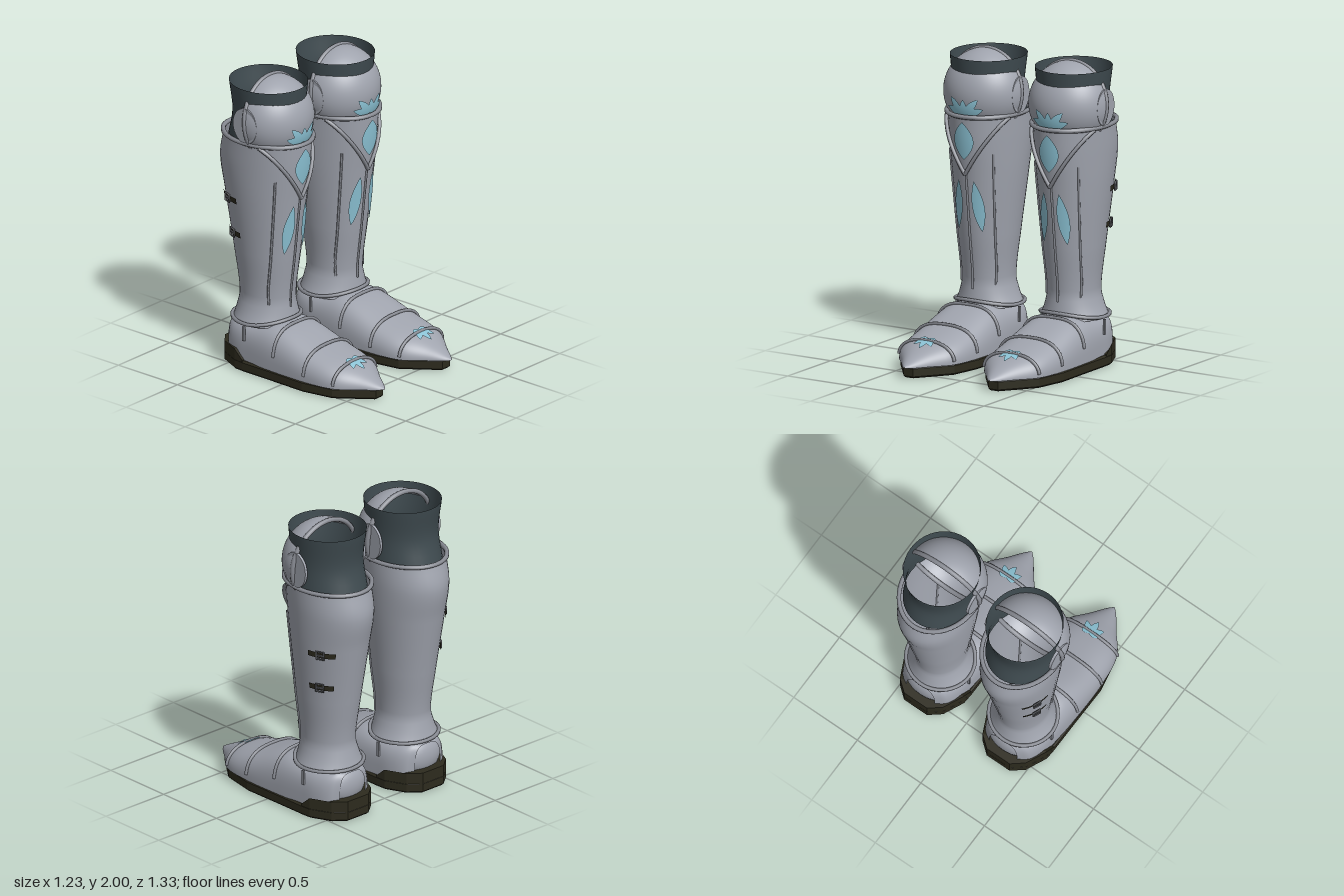
import * as THREE from 'three';
import { ParametricGeometry } from 'three/addons/geometries/ParametricGeometry.js';

const mat = (name, color) => {
  const m = new THREE.MeshStandardMaterial({ color, side: THREE.DoubleSide });
  m.name = name;
  return m;
};
const V = (x, y, z) => new THREE.Vector3(x, y, z);

// smooth interpolation of table rows keyed by their first column
function sample(rows, k) {
  const n = rows.length;
  let i = 0;
  while (i < n - 2 && k > rows[i + 1][0]) i++;
  const a = rows[i], b = rows[i + 1], h = b[0] - a[0];
  const t = Math.min(1, Math.max(0, (k - a[0]) / h));
  const slope = (j, c) => {
    const p = rows[Math.max(0, j - 1)], q = rows[Math.min(n - 1, j + 1)];
    return (q[c] - p[c]) / (q[0] - p[0]);
  };
  return a.map((_, c) => {
    const t2 = t * t, t3 = t2 * t;
    return a[c] * (2 * t3 - 3 * t2 + 1) + b[c] * (3 * t2 - 2 * t3)
      + h * (slope(i, c) * (t3 - 2 * t2 + t) + slope(i + 1, c) * (t3 - t2));
  });
}

// height, half width, front z, back z
const SHIN = [
  [0.32, 0.222, -0.11, -0.545], [0.4, 0.188, -0.122, -0.525], [0.5, 0.166, -0.13, -0.51],
  [0.8, 0.192, -0.095, -0.555], [1.2, 0.23, -0.05, -0.625], [1.42, 0.243, -0.022, -0.663],
  [1.6, 0.245, -0.01, -0.625],
];
const CUFF = [
  [1.56, 0.235, -0.06, -0.59], [1.75, 0.228, -0.07, -0.55], [1.96, 0.245, -0.055, -0.575],
];
// z, half width, bottom y, top y, roundness
const FOOT = [
  [-0.55, 0.11, 0.09, 0.31, 0.55], [-0.51, 0.17, 0.08, 0.325, 0.55], [-0.42, 0.21, 0.08, 0.33, 0.55],
  [-0.3, 0.225, 0.075, 0.335, 0.55], [-0.1, 0.238, 0.075, 0.35, 0.65], [0.19, 0.24, 0.075, 0.265, 0.75],
  [0.41, 0.207, 0.075, 0.205, 0.85], [0.55, 0.102, 0.075, 0.145, 0.95], [0.64, 0.035, 0.075, 0.1, 1],
  [0.67, 0.004, 0.078, 0.083, 1],
];

// point on an upright elliptical tube; a = 0 is the front
function onTube(rows, y, a, off = 0) {
  const [, w, f, b] = sample(rows, y);
  return V((w + off) * Math.sin(a), y, (f + b) / 2 + ((f - b) / 2 + off) * Math.cos(a));
}
const onShinFront = (off) => (x, y) =>
  onTube(SHIN, y, Math.asin(Math.max(-1, Math.min(1, x / sample(SHIN, y)[1]))), off);
function onFoot(z, a, off = 0) {
  const [, w, lo, hi, p] = sample(FOOT, z);
  const c = Math.cos(a), s = Math.max(0, Math.sin(a));
  return V(Math.sign(c) * (w + off) * Math.abs(c) ** p, lo + (hi - lo + off) * s ** p, z);
}
function onToe(x, z) {
  const [, w, lo, hi, p] = sample(FOOT, z);
  const c = Math.min(1, Math.abs(x) / w) ** (1 / p);
  return V(x, lo + (hi - lo) * (1 - c * c) ** (p / 2) + 0.009, z);
}
function onKnee(x, y) {
  const r = Math.min(1, (x * x + (y - 1.72) ** 2) / 0.0784);
  return V(x, y, -0.28 + 0.26 * Math.sqrt(1 - r) - (y - 1.72) * 0.1 + 0.009);
}

const surface = (fn, nu, nv) => new ParametricGeometry((u, v, t) => t.copy(fn(u, v)), nu, nv);
const tube = (pts, r, closed = false, n = 40) =>
  new THREE.TubeGeometry(new THREE.CatmullRomCurve3(pts, closed), n, r, 6, closed);
const range = (n, fn) => Array.from({ length: n }, (_, i) => fn(i / (n - 1)));
// pointed leaf growing from (x, y), wrapped on a surface
const leaf = (x, y, len, wid, ang, wrap) => surface((u, v) => {
  const s = (u - 0.5) * wid * Math.sin(Math.PI * v) ** 0.85, l = len * v;
  return wrap(x + l * Math.sin(ang) + s * Math.cos(ang), y + l * Math.cos(ang) - s * Math.sin(ang));
}, 6, 14);

function outline(half) {
  const s = new THREE.Shape();
  half.forEach(([x, z], i) => (i ? s.lineTo(x, -z) : s.moveTo(x, -z)));
  [...half].reverse().forEach(([x, z]) => s.lineTo(-x, -z));
  return s;
}
function slab(half, y, h, bevel) {
  const g = new THREE.ExtrudeGeometry(outline(half), {
    depth: h - 2 * bevel, bevelEnabled: bevel > 0, bevelSize: bevel, bevelThickness: bevel,
    bevelOffset: -bevel, bevelSegments: 1,
  });
  return g.rotateX(-Math.PI / 2).translate(0, y + bevel, 0);
}

function boot(side, M) {
  const g = new THREE.Group();
  const add = (name, geo, m, parent = g) => {
    const mesh = new THREE.Mesh(geo, m);
    mesh.name = name;
    parent.add(mesh);
    return mesh;
  };
  const TAU = Math.PI * 2;

  // leg shell, inner cuff and foot
  add('shin', surface((u, v) => onTube(SHIN, 0.32 + 1.28 * v, u * TAU), 40, 40), M.steel);
  add('cuff', surface((u, v) => onTube(CUFF, 1.56 + 0.4 * v, u * TAU), 40, 10), M.cloth);
  add('foot', surface((u, v) => onFoot(-0.55 + 1.22 * v, u * Math.PI), 32, 50), M.steel);
  const heel = add('heelCounter', new THREE.SphereGeometry(1, 24, 16), M.steel);
  heel.scale.set(0.145, 0.115, 0.065);
  heel.position.set(0, 0.205, -0.498);

  // sole and raised heel cup
  const rear = [[0.24, -0.33], [0.235, -0.4], [0.17, -0.54], [0.09, -0.605]];
  add('sole', slab([[0.035, 0.625], [0.205, 0.4], [0.247, 0.18], [0.242, -0.1], ...rear], 0.005, 0.075, 0.012), M.leather);
  const cup = slab(rear, 0.07, 0.075, 0);
  const p = cup.attributes.position;
  for (let i = 0; i < p.count; i++) if (p.getY(i) > 0.1 && p.getZ(i) > -0.35) p.setY(i, 0.085);
  cup.computeVertexNormals();
  add('heelCup', cup, M.leather);

  // rolled rims at the top and the ankle
  const loop = (fn) => range(33, (t) => fn(t * TAU)).slice(0, 32);
  add('topRim', tube(loop((a) => onTube(SHIN, 1.595, a, 0.006)), 0.016, true, 64), M.trim);
  add('ankleRim', tube(loop((a) =>
    onTube(SHIN, 0.333 + 0.035 * Math.max(0, Math.cos(a)) ** 2, a, 0.008)), 0.013, true, 64), M.trim);

  // knee guard with its ring and side plates
  const knee = new THREE.Group();
  knee.name = 'kneeGuard';
  knee.position.set(0, 1.72, -0.28);
  knee.rotation.x = -0.1;
  g.add(knee);
  add('kneeDome', new THREE.SphereGeometry(1, 36, 28, 0, Math.PI), M.steel, knee).scale.set(0.278, 0.275, 0.26);
  add('kneeRing', new THREE.TorusGeometry(0.272, 0.016, 8, 56), M.trim, knee);
  for (const s of [-1, 1]) {
    const ear = add('kneeSidePlate', new THREE.CylinderGeometry(1, 1, 0.018, 28).rotateZ(Math.PI / 2), M.steel);
    ear.scale.set(1, 0.12, 0.1);
    ear.position.set(s * 0.252, 1.72, -0.29);
  }

  // chevron trim and raised ribs on the shin
  for (const s of [-1, 1]) {
    const at = onShinFront(0.012);
    add('chevronTrim', tube(range(10, (t) => at(s * 0.225 * (1 - t), 1.585 - 0.375 * t)), 0.013), M.trim);
    add('sideRib', tube(range(10, (t) => onShinFront(0.002)(s * (0.165 - 0.035 * t), 1.35 - 0.88 * t)), 0.008), M.trim);
  }
  add('centreRib', tube(range(10, (t) => onShinFront(0.002)(0, 1.21 - 0.77 * t)), 0.008), M.trim);

  // blue inlays
  const skin = onShinFront(0.011);
  add('shinInlay', leaf(0, 1.31, 0.25, 0.14, 0, skin), M.blue);
  for (const s of [-1, 1])
    add('sideInlay', leaf(s * 0.085, 0.83, 0.34, 0.07, -s * 0.09, skin), M.blue);
  for (const [a, kl, tl] of [[0, 0.1, 0.11], [0.75, 0.15, 0.1], [-0.75, 0.15, 0.1], [1.25, 0.14, 0.07], [-1.25, 0.14, 0.07]]) {
    add('kneePetal', leaf(0, 1.605, kl, 0.05, a, onKnee), M.blue);
    add('toePetal', leaf(0, 0.39, tl, 0.045, a, onToe), M.blue);
  }

  // raised bands over the foot
  for (const [z, a0] of [[0.41, 0.12], [0.19, 0.12], [-0.07, 0.22]])
    add('footBand', tube(range(25, (t) => onFoot(z, a0 + t * (Math.PI - 2 * a0), 0.006)), 0.011, false, 60), M.trim);
  for (const s of [-1, 1])
    add('ankleTab', new THREE.BoxGeometry(0.014, 0.1, 0.015).translate(s * 0.224, 0.265, -0.33), M.trim);

  // straps and buckles on the outer side
  for (const y of [1.165, 0.925]) {
    add('strap', surface((u, v) => onTube(SHIN, y + (v - 0.5) * 0.038, side * (1.74 + 0.7 * u), 0.01), 10, 1), M.leather);
    const a = side * 2.06, [, w, f, b] = sample(SHIN, y);
    const buckle = new THREE.Group();
    buckle.name = 'buckle';
    buckle.position.copy(onTube(SHIN, y, a, 0.016));
    buckle.rotation.y = Math.atan2(Math.sin(a) / w, Math.cos(a) / ((f - b) / 2));
    add('buckleFrame', new THREE.TorusGeometry(0.036, 0.008, 4, 4).rotateZ(Math.PI / 4), M.buckle, buckle);
    add('bucklePin', new THREE.BoxGeometry(0.055, 0.01, 0.012), M.buckle, buckle);
    g.add(buckle);
  }
  g.position.x = side * 0.325;
  return g;
}

export function createModel() {
  const M = {
    steel: mat('steel', 0xa0a4ae), trim: mat('trim steel', 0x8b8e96), cloth: mat('dark cuff', 0x3f4b50),
    leather: mat('dark leather', 0x2d2b1e), blue: mat('blue inlay', 0x8cc3d5), buckle: mat('buckle metal', 0x5c5e62),
  };
  const model = new THREE.Group();
  for (const side of [1, -1]) {
    const b = boot(side, M);
    b.name = side > 0 ? 'leftBoot' : 'rightBoot';
    model.add(b);
  }
  return model;
}
